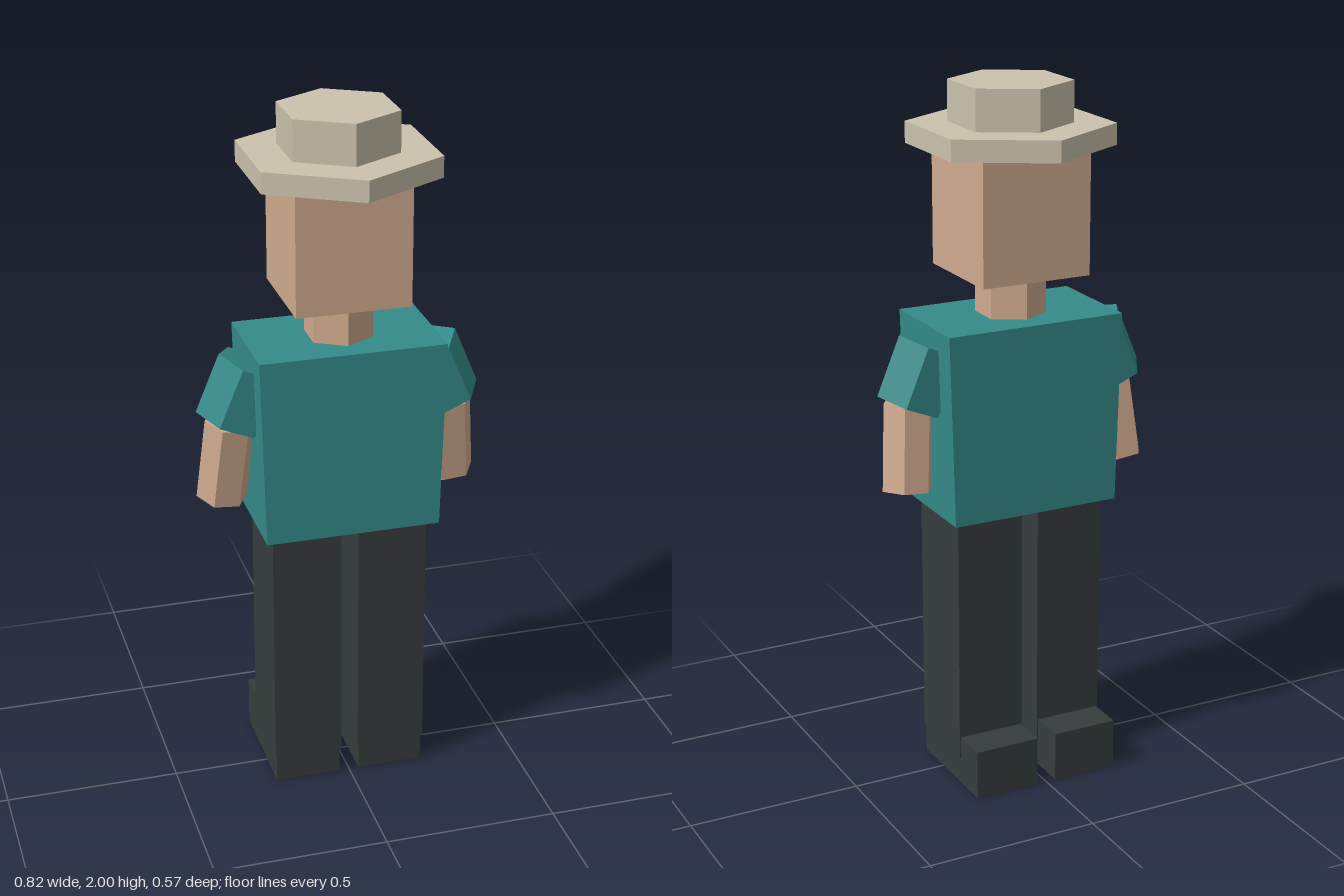
import * as THREE from 'three';

const mat = (name, color) => {
  const m = new THREE.MeshStandardMaterial({ color });
  m.name = name;
  return m;
};

export function createModel() {
  const skin = mat('skin', 0xd0ab8e);
  const shirt = mat('teal shirt', 0x348b89);
  const trousers = mat('dark trousers', 0x363c3c);
  const straw = mat('straw hat', 0xcbc2ad);
  const model = new THREE.Group();
  model.name = 'figure';

  const add = (name, geometry, material, x, y, z) => {
    const mesh = new THREE.Mesh(geometry, material);
    mesh.name = name;
    mesh.position.set(x, y, z);
    model.add(mesh);
    return mesh;
  };

  // Box given by its minimum and maximum on each axis
  const box = (name, material, x0, x1, y0, y1, z0, z1) =>
    add(name, new THREE.BoxGeometry(x1 - x0, y1 - y0, z1 - z0), material,
      (x0 + x1) / 2, (y0 + y1) / 2, (z0 + z1) / 2);

  // Six-sided prism with faceted sides; turn rotates its corners about y
  const hexagon = (radius, height, turn = 0) => {
    const g = new THREE.CylinderGeometry(radius, radius, height, 6, 1, false, turn).toNonIndexed();
    g.computeVertexNormals();
    return g;
  };

  // Hat, head and neck
  add('hatCrown', hexagon(0.171, 0.115), straw, 0, 1.9425, -0.001);
  add('hatBrim', hexagon(0.287, 0.06), straw, 0, 1.855, -0.001);
  box('head', skin, -0.162, 0.162, 1.475, 1.83, -0.157, 0.157);
  add('neck', hexagon(0.098, 0.135), skin, 0, 1.4175, 0);

  // Torso, slightly narrower at the hem
  const torso = box('torso', shirt, -0.265, 0.265, 0.81, 1.355, -0.16, 0.16);
  const p = torso.geometry.attributes.position;
  for (let i = 0; i < p.count; i++) if (p.getY(i) < 0) p.setX(i, p.getX(i) * 0.945);
  torso.geometry.computeVertexNormals();

  // Limbs, mirrored left and right
  for (const [side, s] of [['left', 1], ['right', -1]]) {
    const sleeve = add(side + 'Sleeve', hexagon(0.1015, 0.178, Math.PI / 6), shirt, s * 0.28, 1.21, 0);
    sleeve.rotation.z = s * 0.393;

    const arm = add(side + 'Forearm', hexagon(0.073, 0.246, Math.PI / 6), skin, s * 0.324, 1.012, -0.008);
    arm.rotation.set(0.134, 0, s * 0.09);

    const edges = (a, b) => (s > 0 ? [a, b] : [-b, -a]);
    box(side + 'Leg', trousers, ...edges(0.025, 0.225), 0.08, 0.805, -0.12, 0.12);
    box(side + 'Shoe', trousers, ...edges(0.029, 0.221), 0, 0.145, -0.226, 0.115);
  }
  return model;
}
